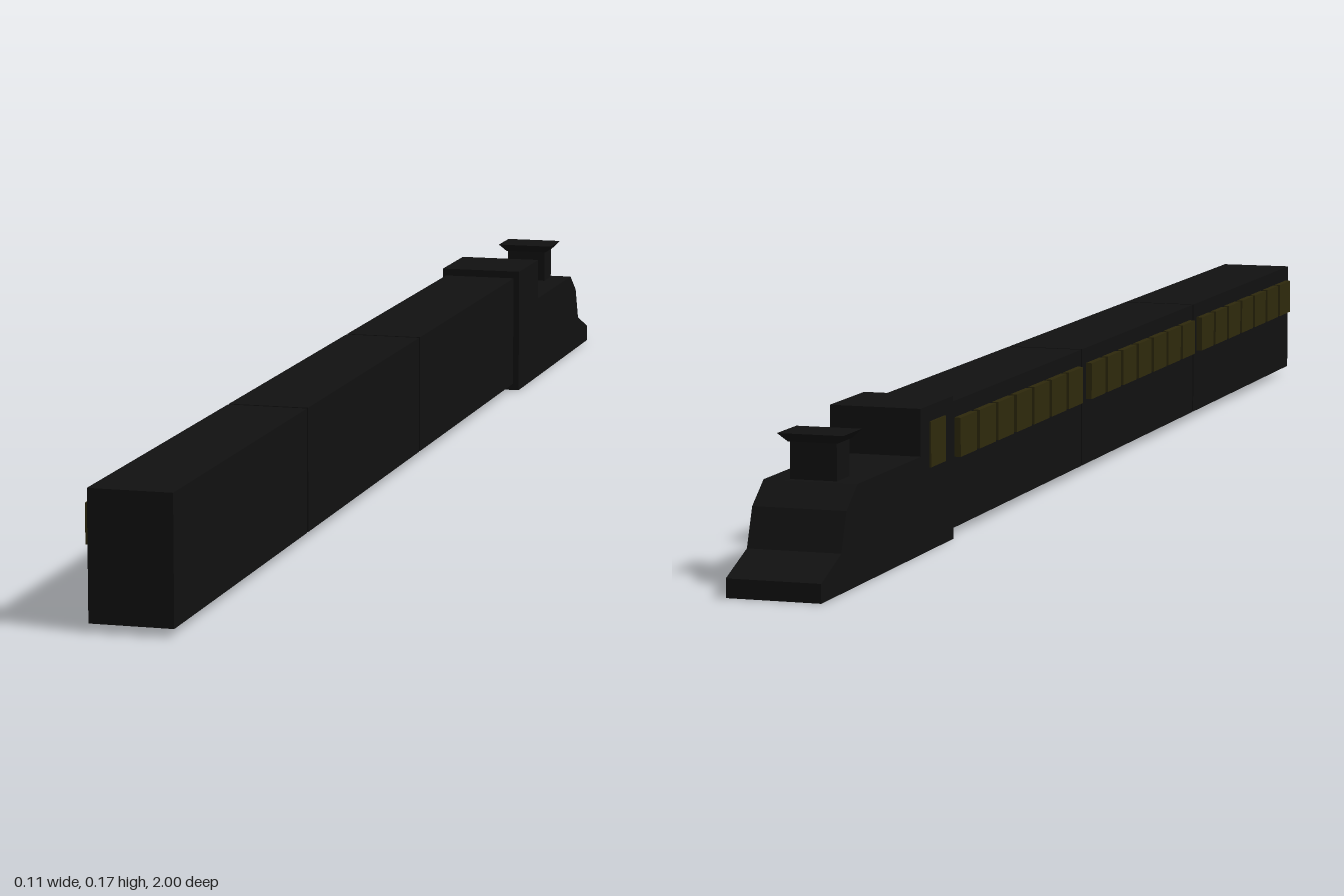
import * as THREE from 'three';

const bodyMat = new THREE.MeshStandardMaterial({ color: 0x111111, flatShading: true });
const glassMat = new THREE.MeshStandardMaterial({ color: 0x2e290c, flatShading: true });

// Box given by its minimum and maximum corners
function box(name, mat, [x0, y0, z0], [x1, y1, z1]) {
  const mesh = new THREE.Mesh(new THREE.BoxGeometry(x1 - x0, y1 - y0, z1 - z0), mat);
  mesh.position.set((x0 + x1) / 2, (y0 + y1) / 2, (z0 + z1) / 2);
  mesh.name = name;
  return mesh;
}

// Locomotive: side outline (z, y) of cab, boiler and sloping nose, extruded across x
function createEngine() {
  const engine = new THREE.Group();
  engine.name = 'engine';
  const outline = [
    [-0.56, 0], [-0.56, 0.171], [-0.675, 0.171], [-0.675, 0.115], [-0.885, 0.115],
    [-0.92, 0.09], [-0.937, 0.045], [-1, 0.022], [-1, 0],
  ];
  const shape = new THREE.Shape(outline.map(([z, y]) => new THREE.Vector2(-z, y)));
  const geo = new THREE.ExtrudeGeometry(shape, { depth: 0.112, bevelEnabled: false });
  geo.rotateY(Math.PI / 2); // outline axis to -z, depth to +x
  geo.translate(-0.055, 0, 0);
  const body = new THREE.Mesh(geo, bodyMat);
  body.name = 'engineBody';
  engine.add(body);

  // Square chimney with a flared, flat cap
  engine.add(box('chimney', bodyMat, [-0.027, 0.11, -0.875], [0.029, 0.162, -0.835]));
  const capGeo = new THREE.CylinderGeometry(Math.SQRT1_2, Math.SQRT1_2 * 0.75, 1, 4);
  capGeo.rotateY(Math.PI / 4);
  const cap = new THREE.Mesh(capGeo, bodyMat);
  cap.scale.set(0.079, 0.01, 0.06);
  cap.position.set(0.001, 0.163, -0.855);
  cap.name = 'chimneyCap';
  engine.add(cap);

  engine.add(box('cabWindow', glassMat, [-0.057, 0.098, -0.644], [-0.053, 0.152, -0.592]));
  return engine;
}

// Passenger car with a row of raised windows along one side
function createCar(zCentre) {
  const car = new THREE.Group();
  car.name = 'passengerCar';
  car.add(box('carBody', bodyMat, [-0.049, 0.01, -0.2575], [0.05, 0.162, 0.2575]));
  for (let i = -3; i <= 3; i++) {
    const z = i * 0.0705;
    car.add(box('carWindow', glassMat, [-0.057, 0.095, z - 0.03], [-0.047, 0.142, z + 0.03]));
  }
  car.position.z = zCentre;
  return car;
}

export function createModel() {
  const train = new THREE.Group();
  train.name = 'train';
  train.add(createEngine());
  for (let i = 0; i < 3; i++) train.add(createCar(0.7425 - i * 0.52));
  return train;
}
